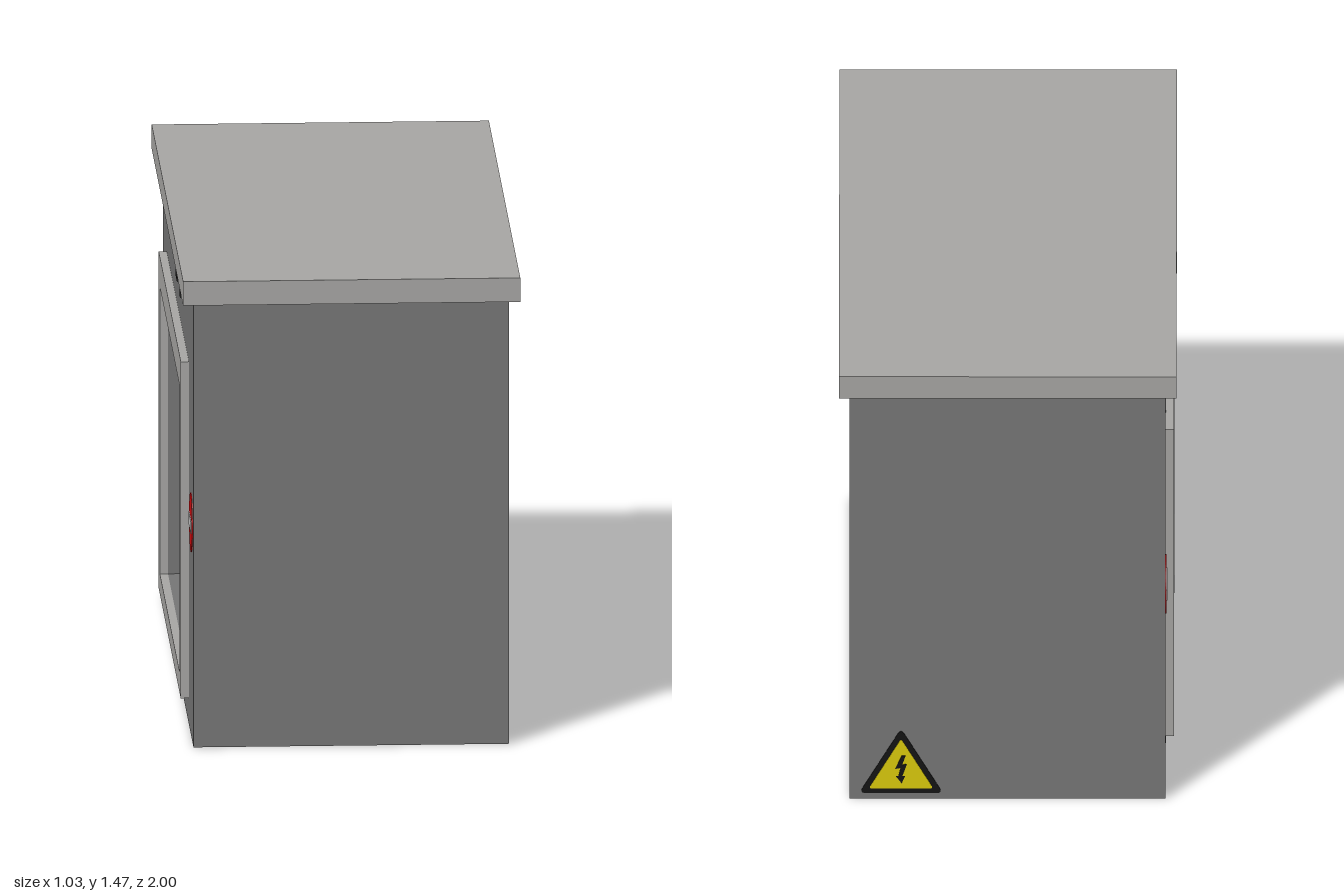
import * as THREE from 'three';

const paint = (name, color) => Object.assign(new THREE.MeshStandardMaterial({ color }), { name });

// Rectangle outline as points
const rect = (x0, x1, y0, y1) => [[x0, y0], [x1, y0], [x1, y1], [x0, y1]].map(p => new THREE.Vector2(...p));

// Polygon with rounded corners
function roundedPoly(points, t) {
  const s = new THREE.Shape();
  const n = points.length;
  const mix = (a, b) => [a[0] + (b[0] - a[0]) * t, a[1] + (b[1] - a[1]) * t];
  points.forEach((p, i) => {
    const a = mix(p, points[(i + n - 1) % n]);
    const b = mix(p, points[(i + 1) % n]);
    if (i === 0) s.moveTo(...a); else s.lineTo(...a);
    s.quadraticCurveTo(...p, ...b);
  });
  s.closePath();
  return s;
}

// Box without its -x face, optionally turned inside out
function openBox(x0, x1, y0, y1, z0, z1, inside) {
  const g = new THREE.BoxGeometry(x1 - x0, y1 - y0, z1 - z0);
  const index = Array.from(g.index.array).filter((v, i) => i < 6 || i >= 12);
  g.clearGroups();
  g.setIndex(inside ? index.reverse() : index);
  if (inside) g.attributes.normal.array.forEach((v, i, a) => { a[i] = -v; });
  return g.translate((x0 + x1) / 2, (y0 + y1) / 2, (z0 + z1) / 2);
}

export function createModel() {
  const model = new THREE.Group();
  const bodyGrey = paint('body grey', 0x757575);
  const trimGrey = paint('trim grey', 0xa5a4a2);
  const red = paint('sign red', 0xd0080c);
  const pale = paint('sign pale grey', 0xc4c4c4);
  const yellow = paint('warning yellow', 0xd8c80c);
  const black = paint('marking black', 0x141414);

  const add = (parent, name, geometry, material) => {
    const mesh = new THREE.Mesh(geometry, material);
    mesh.name = name;
    parent.add(mesh);
    return mesh;
  };
  const plate = (shape, depth) => new THREE.ExtrudeGeometry(shape, { depth, bevelEnabled: false, curveSegments: 24 });

  const X = 0.48, Z = 0.97, H = 1.39;
  const hole = [-0.652, 0.608, 0.144, 1.043];

  // Cabinet shell, recess and lid
  add(model, 'cabinet shell', openBox(-X, X, 0, H, -Z, Z, false), bodyGrey);
  add(model, 'recess', openBox(-X, 0.157, hole[2], hole[3], hole[0], hole[1], true), bodyGrey);
  add(model, 'lid', new THREE.BoxGeometry(1.026, 0.075, 2).translate(0, 1.4275, 0), trimGrey);

  // Side panel on -x: local x runs along world z
  const side = new THREE.Group();
  side.name = 'windowSide';
  side.position.x = -X;
  side.rotation.y = -Math.PI / 2;
  model.add(side);

  const panel = new THREE.Shape(rect(-Z, Z, 0, H));
  panel.holes.push(new THREE.Path(rect(...hole)));
  add(side, 'side panel', new THREE.ShapeGeometry(panel), bodyGrey);

  const frame = new THREE.Shape(rect(-0.721, 0.682, 0.083, 1.136));
  frame.holes.push(new THREE.Path(rect(...hole)));
  add(side, 'window frame', plate(frame, 0.025), trimGrey);

  // Round red signs either side of the window
  for (const z of [-0.845, 0.839]) {
    const disc = new THREE.Shape().absarc(z, 0.672, 0.09, 0, Math.PI * 2);
    add(side, 'red sign disc', plate(disc, 0.003), red);
    add(side, 'red sign bar', plate(new THREE.Shape(rect(z - 0.073, z + 0.073, 0.654, 0.69)), 0.006), pale);
  }

  // Small dark marks below the lid: centre z, centre y, width, height
  for (const [z, y, w, h] of [[-0.147, 1.35, 0.04, 0.03], [0.032, 1.335, 0.05, 0.035],
    [0.138, 1.217, 0.04, 0.02], [-0.09, 1.225, 0.1, 0.035]]) {
    add(side, 'dark mark', plate(new THREE.Shape(rect(z - w / 2, z + w / 2, y - h / 2, y + h / 2)), 0.002), black);
  }

  // Triangular warning sign on the back
  const sign = new THREE.Group();
  sign.name = 'warningSign';
  sign.position.set(0.324, 0, -Z);
  sign.rotation.y = Math.PI;
  model.add(sign);
  const triangle = (w, y0, y1, t) => roundedPoly([[-w, y0], [w, y0], [0, y1]], t);
  add(sign, 'warning border', plate(triangle(0.127, 0.02, 0.24, 0.08), 0.003), black);
  add(sign, 'warning face', plate(triangle(0.098, 0.037, 0.207, 0.05), 0.005), yellow);
  const bolt = [[0.002, 0.15], [-0.018, 0.105], [-0.002, 0.108], [-0.008, 0.08], [-0.016, 0.08],
    [0.002, 0.055], [0.012, 0.08], [0.004, 0.08], [0.018, 0.122], [0.003, 0.118], [0.014, 0.15]];
  add(sign, 'warning bolt', plate(new THREE.Shape(bolt.map(p => new THREE.Vector2(...p))), 0.007), black);

  return model;
}
